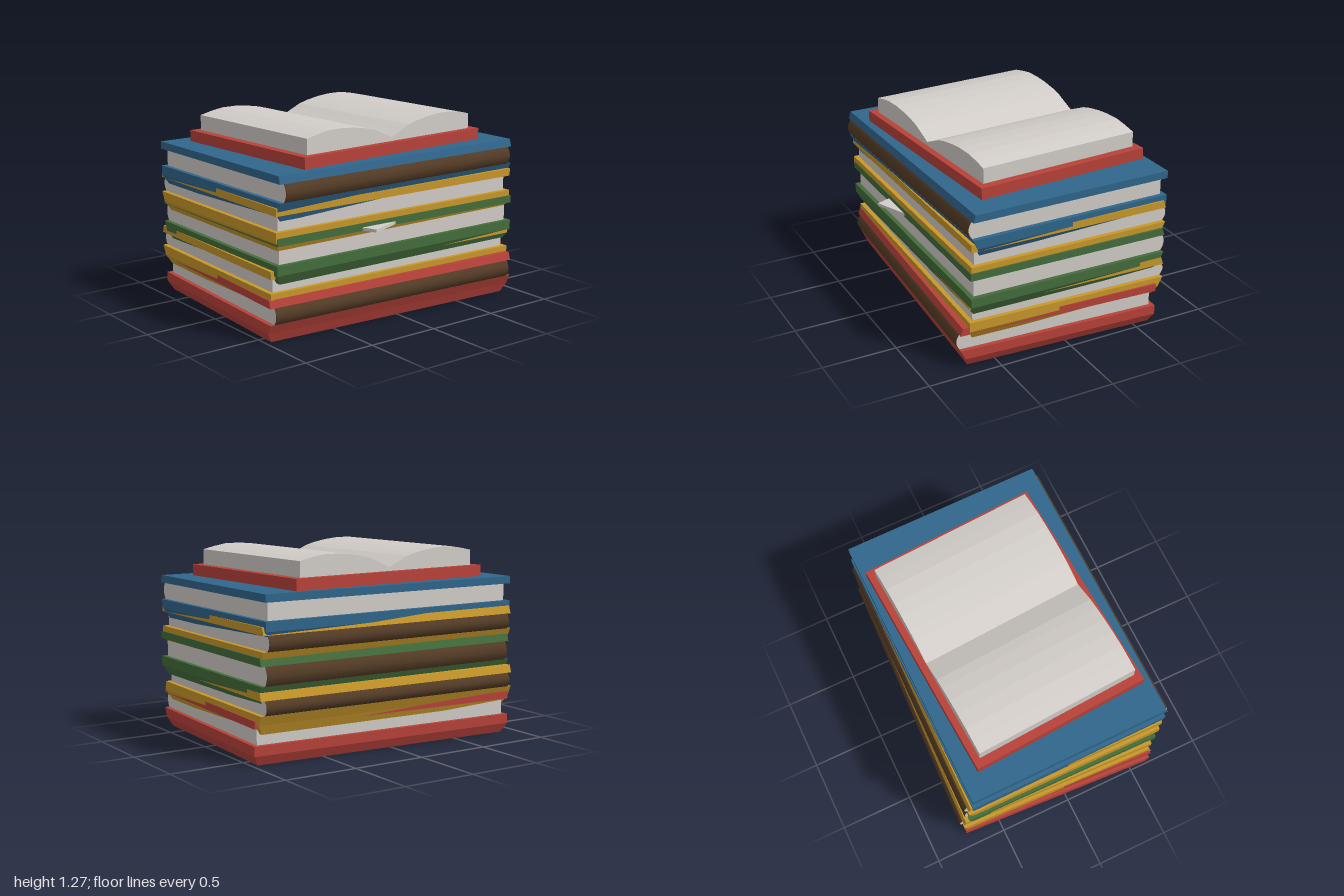
import * as THREE from 'three';

const mat = (name, color) => {
  const m = new THREE.MeshStandardMaterial({ color });
  m.name = name;
  return m;
};

function add(group, name, geometry, material) {
  const mesh = new THREE.Mesh(geometry, material);
  mesh.name = name;
  group.add(mesh);
  return mesh;
}

// Box whose horizontal rings follow [y, halfWidth, zBack, zFront], listed from bottom to top
function ringBox(rings) {
  const n = rings.length - 1;
  const g = new THREE.BoxGeometry(2, 1, 1, 1, n, 1);
  const p = g.attributes.position;
  for (let i = 0; i < p.count; i++) {
    const [y, hw, zb, zf] = rings[Math.round((p.getY(i) + 0.5) * n)];
    p.setXYZ(i, p.getX(i) * hw, y, p.getZ(i) < 0 ? zb : zf);
  }
  const flat = g.toNonIndexed();
  flat.computeVertexNormals();
  return flat;
}

// Extrudes a (-z, y) outline along x, centred
function extrudeX(shape, width, curveSegments) {
  const g = new THREE.ExtrudeGeometry(shape, { depth: width, bevelEnabled: false, curveSegments });
  return g.translate(0, 0, -width / 2).rotateY(Math.PI / 2);
}

const HW = 0.96, HD = 0.685, BASE = 0.125, CAP = 0.05;

// Closed book with its spine towards -z
function closedBook(name, cover, pages, spine, h) {
  const book = new THREE.Group();
  book.name = name;
  const top = BASE + h;

  // Heavy lower cover, tapered underneath
  add(book, 'lowerCover', ringBox([
    [0, HW - 0.035, -HD + 0.04, HD - 0.03],
    [BASE / 2, HW, -HD + 0.015, HD],
    [BASE, HW, -HD - 0.015, HD],
  ]), cover);

  // Upper cover, leaning in at the spine
  add(book, 'upperCover', ringBox([
    [top, HW, -HD - 0.015, HD],
    [top + CAP, HW, -HD, HD],
  ]), cover);

  // Page block with a bulging spine end
  const edge = HD + 0.01, bulge = HD + 0.055, mid = BASE + h / 2;
  const block = new THREE.Shape();
  block.moveTo(-HD + 0.03, BASE);
  block.lineTo(edge, BASE);
  block.quadraticCurveTo(bulge, mid, edge, top);
  block.lineTo(-HD + 0.03, top);
  add(book, 'pageBlock', extrudeX(block, 2 * HW - 0.06, 10), pages);

  // Thin spine skin over the bulge
  const skin = new THREE.Shape();
  const t = 0.004;
  skin.moveTo(edge, BASE);
  skin.lineTo(edge + t, BASE);
  skin.quadraticCurveTo(bulge + t, mid, edge + t, top);
  skin.lineTo(edge, top);
  skin.quadraticCurveTo(bulge, mid, edge, BASE);
  add(book, 'spine', extrudeX(skin, 2 * HW - 0.06, 10), spine);
  return book;
}

export function createModel() {
  const model = new THREE.Group();
  model.name = 'bookStack';
  const red = mat('red cover', 0xb8423a);
  const yellow = mat('yellow cover', 0xc9982a);
  const green = mat('green cover', 0x446d3b);
  const blue = mat('blue cover', 0x30668c);
  const brown = mat('brown spine', 0x543c26);
  const paper = mat('paper', 0xd2cdc8);

  // Stacked books: name, cover, y, page height, x, z, turn, spine at front
  const stack = [
    ['redBook', red, 0, 0.108, 0, -0.01, -0.057, true],
    ['lowerYellowBook', yellow, 0.195, 0.092, 0, -0.03, -0.035, false],
    ['greenBook', green, 0.375, 0.122, 0.01, -0.01, -0.015, false],
    ['upperYellowBook', yellow, 0.585, 0.1, 0, -0.015, -0.011, false],
    ['blueBook', blue, 0.77, 0.115, 0, -0.02, 0.008, true],
  ];
  for (const [name, cover, y, h, x, z, turn, front] of stack) {
    const book = closedBook(name, cover, paper, brown, h);
    book.position.set(x, y, z);
    book.rotation.y = turn + (front ? Math.PI : 0);
    model.add(book);
  }

  // Loose paper slip sticking out of the green book
  const slip = add(model, 'paperSlip', new THREE.BoxGeometry(0.34, 0.02, 0.3), paper);
  slip.position.set(-0.178, 0.635, 0.563);
  slip.rotation.y = 0.38;

  // Open book on top
  const open = new THREE.Group();
  open.name = 'openBook';
  open.position.set(-0.005, 1.06, -0.028);
  open.rotation.y = 0.0625;
  model.add(open);
  add(open, 'openCover', new THREE.BoxGeometry(1.523, 0.075, 1.21), red).position.y = 0.0375;

  // Two arched page halves meeting in the gutter
  const half = [[0, 0.1], [0.07, 0.13], [0.15, 0.165], [0.22, 0.183], [0.32, 0.2],
    [0.42, 0.209], [0.53, 0.209], [0.62, 0.195], [0.705, 0.177]];
  const arch = new THREE.Shape();
  arch.moveTo(-0.705, 0.075);
  arch.lineTo(0.705, 0.075);
  for (const [x, y] of [...half].reverse()) arch.lineTo(x, y);
  for (const [x, y] of half.slice(1)) arch.lineTo(-x, y);
  const leaves = new THREE.ExtrudeGeometry(arch, { depth: 1.12, bevelEnabled: false });
  add(open, 'openPages', leaves.translate(0, 0, -0.56), paper);

  return model;
}
